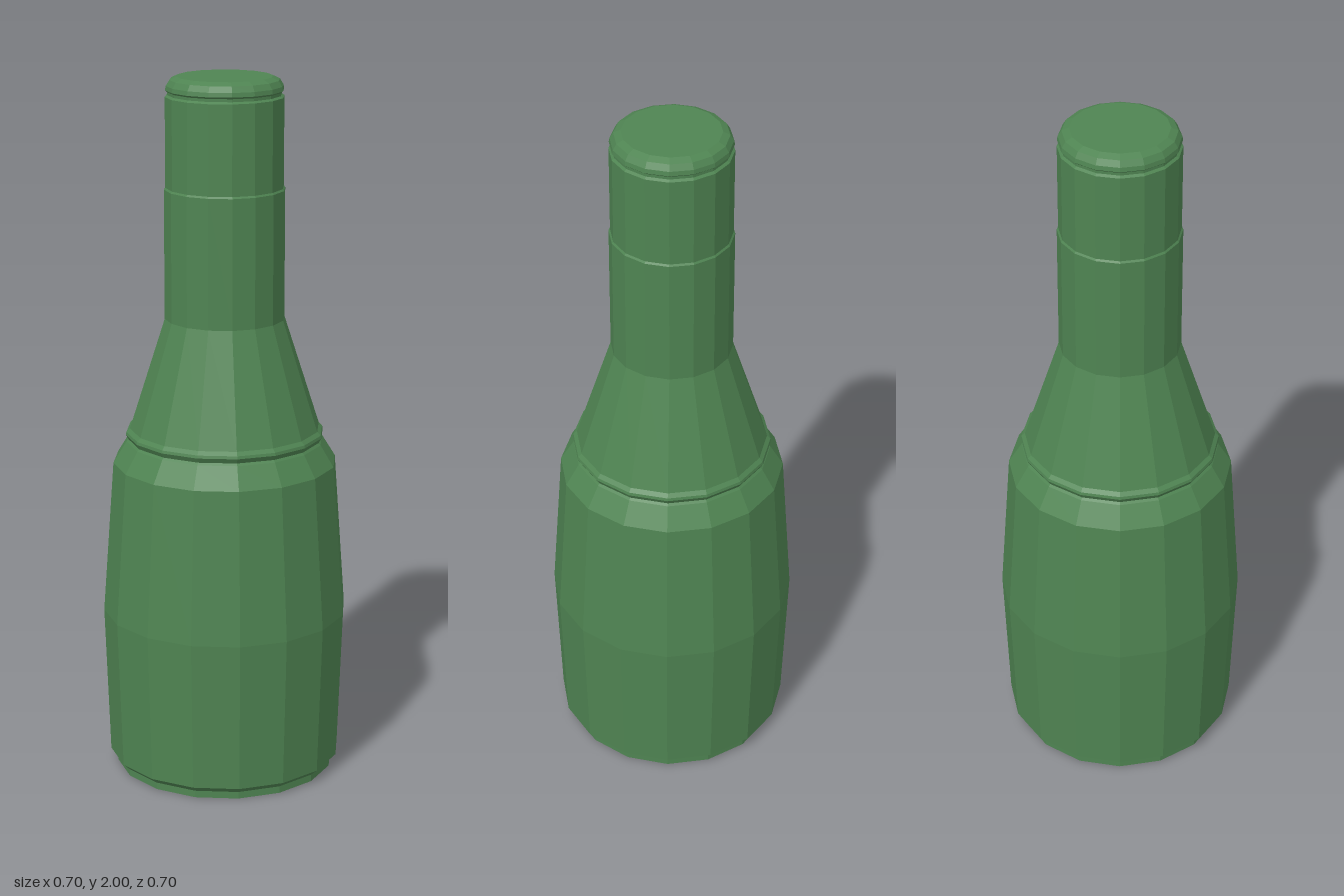
import * as THREE from 'three';

const SIDES = 16;
const glass = new THREE.MeshStandardMaterial({ color: 0x4f8452, flatShading: true });

// One turned section of the bottle, profile given as [radius, height] from bottom to top
function turned(name, profile) {
  const points = profile.map(([r, y]) => new THREE.Vector2(r, y));
  const mesh = new THREE.Mesh(new THREE.LatheGeometry(points, SIDES), glass);
  mesh.name = name;
  return mesh;
}

export function createModel() {
  const bottle = new THREE.Group();
  bottle.name = 'bottle';
  bottle.add(
    // Recessed foot with a flat underside
    turned('foot', [[0, 0], [0.315, 0], [0.315, 0.02], [0.335, 0.038]]),
    // Belly, widest just below the middle, and sloping shoulder
    turned('body', [[0.335, 0.038], [0.35, 0.47], [0.318, 0.91], [0.28, 0.972]]),
    // Thin raised band between shoulder and neck
    turned('shoulderBand', [[0.28, 0.972], [0.274, 0.978], [0.282, 0.992], [0.28, 1.0], [0.27, 1.01]]),
    // Tapering neck and straight upper neck
    turned('neck', [[0.27, 1.01], [0.169, 1.325], [0.169, 1.69], [0.165, 1.695]]),
    // Wrapped sleeve ending in a narrow groove
    turned('sleeve', [[0.165, 1.695], [0.165, 1.945], [0.158, 1.95], [0.158, 1.958]]),
    // Bevelled cap with a flat top
    turned('cap', [[0.158, 1.958], [0.164, 1.963], [0.162, 1.975], [0.152, 1.991], [0.133, 2], [0, 2]]),
  );
  return bottle;
}
